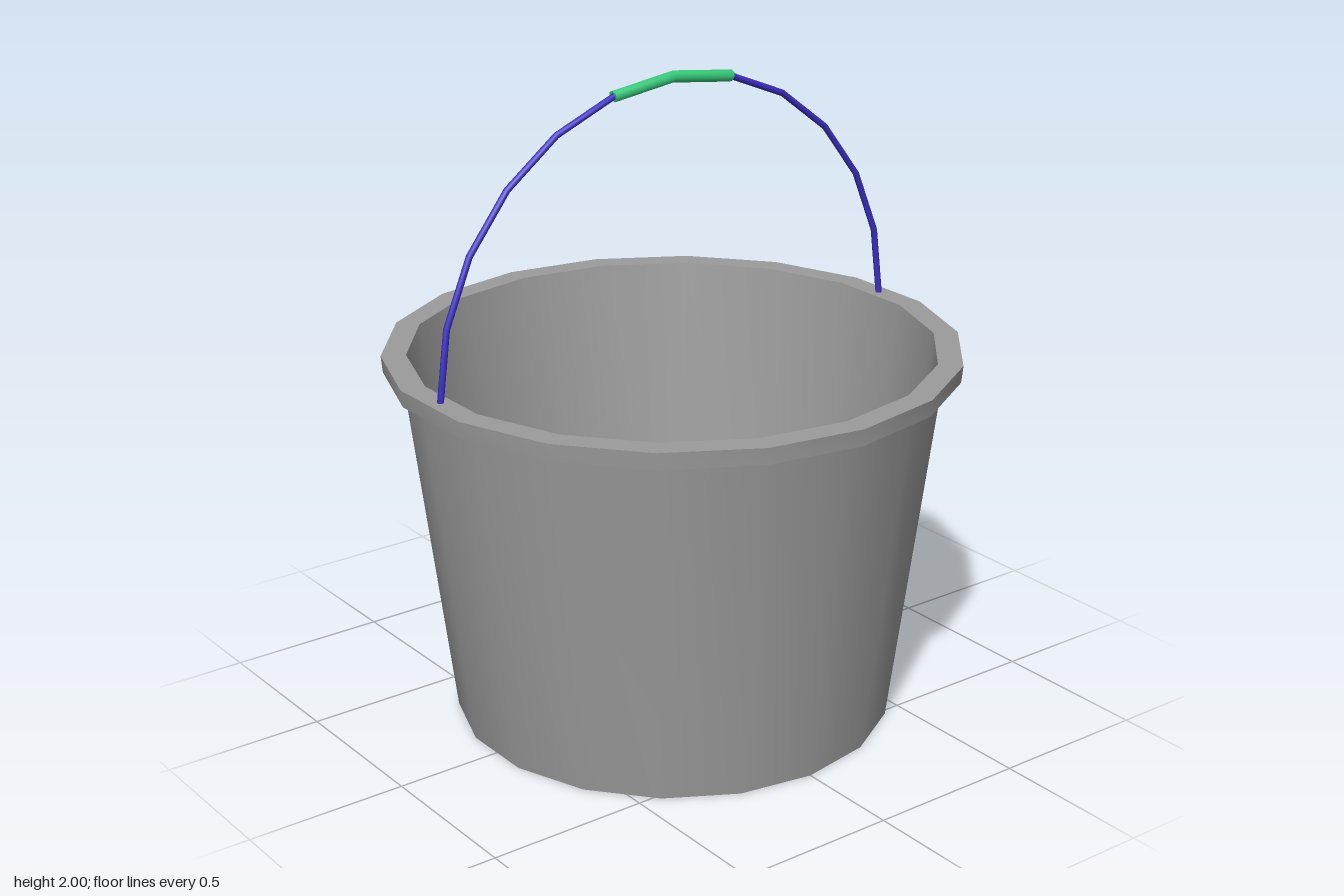
import * as THREE from 'three';
import { toCreasedNormals } from 'three/addons/utils/BufferGeometryUtils.js';

const SIDES = 18;
const RIM_Y = 1.165;

// Semicircular bail in the YZ plane, t = 0 at the front foot, 1 at the back foot
class BailCurve extends THREE.Curve {
  constructor(from, to) {
    super();
    this.from = from;
    this.to = to;
  }
  getPoint(t, target = new THREE.Vector3()) {
    const a = Math.PI * (this.from + (this.to - this.from) * t);
    return target.set(0, RIM_Y + 0.818 * Math.sin(a), 0.82 * Math.cos(a));
  }
  getPointAt(t, target) {
    return this.getPoint(t, target);
  }
}

// Faceted revolve with a corner on the x axis and crisp profile edges
function revolve(profile) {
  const points = profile.map(([r, y]) => new THREE.Vector2(r, y));
  return toCreasedNormals(new THREE.LatheGeometry(points, SIDES, Math.PI / 2), 0.6);
}

// Rod following part of the bail, closed by a disc at each end
function rod(name, from, to, segments, radius, material) {
  const group = new THREE.Group();
  group.name = name;
  const curve = new BailCurve(from, to);
  const tube = new THREE.Mesh(new THREE.TubeGeometry(curve, segments, radius, 8), material);
  tube.name = name + 'Tube';
  group.add(tube);
  for (const t of [0, 1]) {
    const cap = new THREE.Mesh(new THREE.CircleGeometry(radius, 8), material);
    cap.name = name + 'Cap';
    const end = curve.getPoint(t);
    const outward = curve.getTangent(t).multiplyScalar(t ? 1 : -1);
    cap.position.copy(end);
    cap.lookAt(end.clone().add(outward));
    group.add(cap);
  }
  return group;
}

export function createModel() {
  const model = new THREE.Group();
  model.name = 'bucket';
  const grey = new THREE.MeshStandardMaterial({ color: 0x9c9c9c });
  const blue = new THREE.MeshStandardMaterial({ color: 0x3c30c4 });
  const green = new THREE.MeshStandardMaterial({ color: 0x38cc7c });

  // Pail: underside, tapered outer wall, overhanging rim, inner wall, floor
  const pail = new THREE.Mesh(revolve([
    [0, 0], [0.675, 0], [0.815, 1.128], [0.867, 1.113],
    [0.872, RIM_Y], [0.797, RIM_Y], [0.65, 0.02], [0, 0.02],
  ]), grey);
  pail.name = 'pail';
  model.add(pail);

  // Wire handle and its grip, bent in 15 degree steps
  model.add(rod('handleWire', 0, 1, 12, 0.01, blue));
  model.add(rod('handleGrip', 5 / 12, 7 / 12, 2, 0.018, green));
  return model;
}
